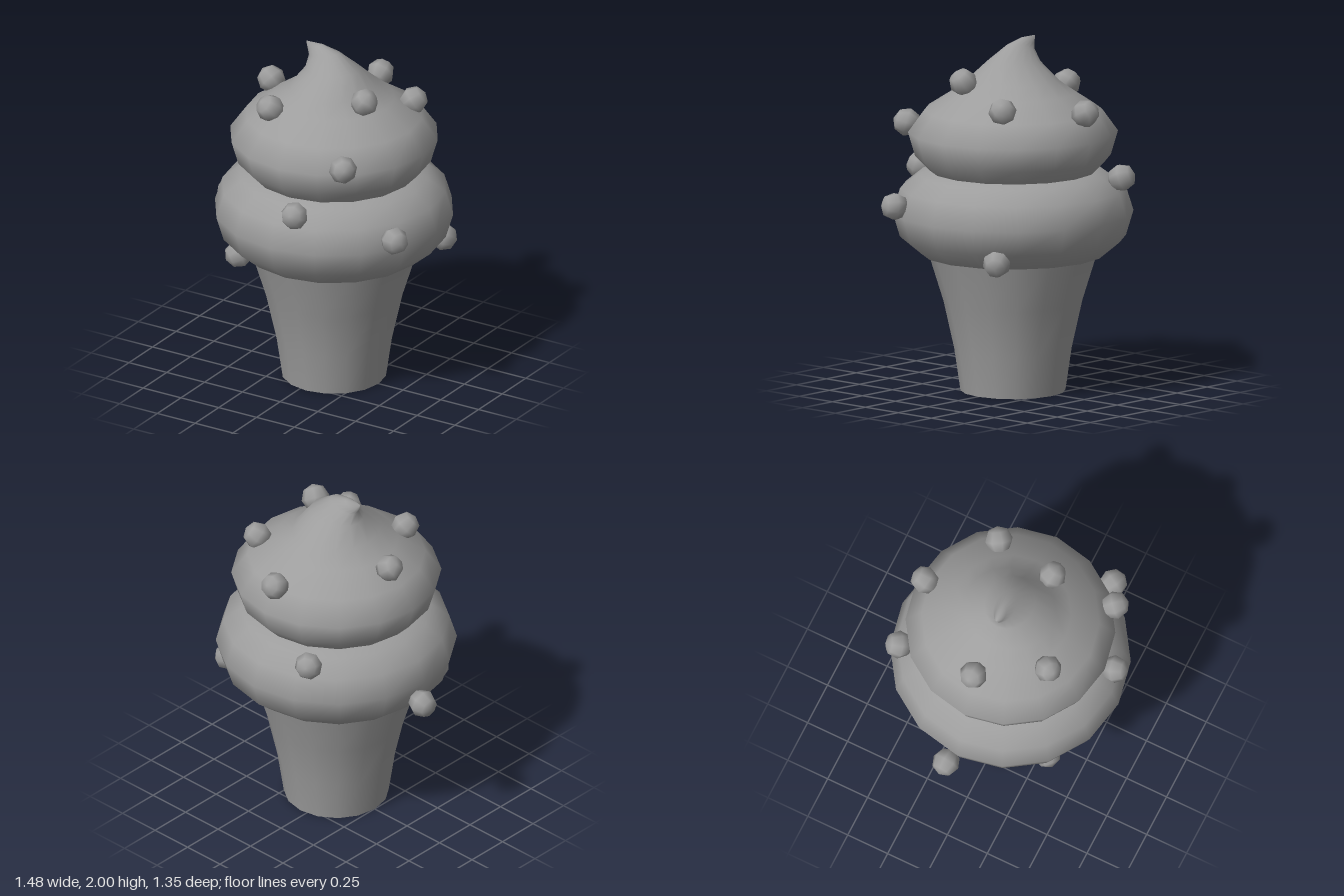
import * as THREE from 'three';
import { mergeVertices } from 'three/addons/utils/BufferGeometryUtils.js';

const SIDES = 16;
const AXIS = 0.044; // x of the cone's axis
const material = new THREE.MeshStandardMaterial({ color: 0x9d9d9d });

function addMesh(parent, name, geometry) {
  const mesh = new THREE.Mesh(geometry, material);
  mesh.name = name;
  parent.add(mesh);
  return mesh;
}

// Smooth skin through rings listed top to bottom: [y, radius, centreX, tilt, depthRadius]
function loft(rings) {
  const geometry = new THREE.CylinderGeometry(1, 1, 1, SIDES, rings.length - 1, true);
  const pos = geometry.attributes.position;
  for (let i = 0; i < pos.count; i++) {
    const [y, r, cx = AXIS, tilt = 0, rz = r] = rings[Math.floor(i / (SIDES + 1))];
    const a = ((i % (SIDES + 1)) / SIDES) * Math.PI * 2;
    pos.setXYZ(i, cx + r * Math.sin(a), y + tilt * Math.sin(a), rz * Math.cos(a));
  }
  geometry.deleteAttribute('uv');
  geometry.deleteAttribute('normal');
  const merged = mergeVertices(geometry, 1e-5);
  merged.computeVertexNormals();
  return merged;
}

export function createModel() {
  const model = new THREE.Group();
  model.name = 'iceCreamCone';

  // Flared wafer cone with a flat base
  const cone = new THREE.Group();
  cone.name = 'waferCone';
  addMesh(cone, 'coneWall', loft([[0.79, 0.477], [0.51, 0.39], [0.24, 0.33], [0, 0.295]]));
  addMesh(cone, 'coneBase', new THREE.CircleGeometry(0.295, SIDES).rotateX(Math.PI / 2).translate(AXIS, 0, 0));
  model.add(cone);

  // Lower scoop, its underside rolling in to the cone
  addMesh(model, 'lowerSwirl', loft([
    [1.26, 0.46], [1.235, 0.535], [1.155, 0.635], [1.02, 0.677], [0.88, 0.635], [0.78, 0.515], [0.777, 0.47],
  ]));

  // Upper scoop with its curled tip
  addMesh(model, 'upperSwirl', loft([
    [2.0, 0, -0.14],
    [1.975, 0.045, -0.08, 0.025, 0.03],
    [1.95, 0.095, -0.02, 0.02, 0.06],
    [1.875, 0.162, 0.038, 0.005, 0.14],
    [1.77, 0.24, 0.04, 0, 0.265],
    [1.7, 0.345, 0.04],
    [1.6, 0.5],
    [1.475, 0.59],
    [1.34, 0.55],
    [1.255, 0.468],
  ]));

  // Round candy sprinkles, poles turned outwards
  const sprinkles = new THREE.Group();
  sprinkles.name = 'sprinkles';
  const ball = new THREE.SphereGeometry(0.08, 8, 4);
  const up = new THREE.Vector3(0, 1, 0);
  const spots = [
    [-0.383, 1.697, -0.02], [-0.167, 1.707, 0.34], [0.322, 1.777, 0.125], [0.412, 1.667, -0.255],
    [0.022, 1.637, -0.527], [0.402, 1.517, 0.478], [0.157, 1.222, 0.6], [-0.258, 1.237, -0.55],
    [0.657, 1.087, 0.34], [-0.667, 0.927, -0.05], [-0.328, 0.8, 0.415], [0.555, 0.828, -0.34],
  ];
  spots.forEach(([x, y, z], i) => {
    const sprinkle = addMesh(sprinkles, `sprinkle${i + 1}`, ball);
    sprinkle.position.set(x, y, z);
    const core = y > 1.3 ? 1.35 : 1.02; // height of the scoop's middle
    sprinkle.quaternion.setFromUnitVectors(up, new THREE.Vector3(x - AXIS, y - core, z).normalize());
  });
  model.add(sprinkles);

  return model;
}
